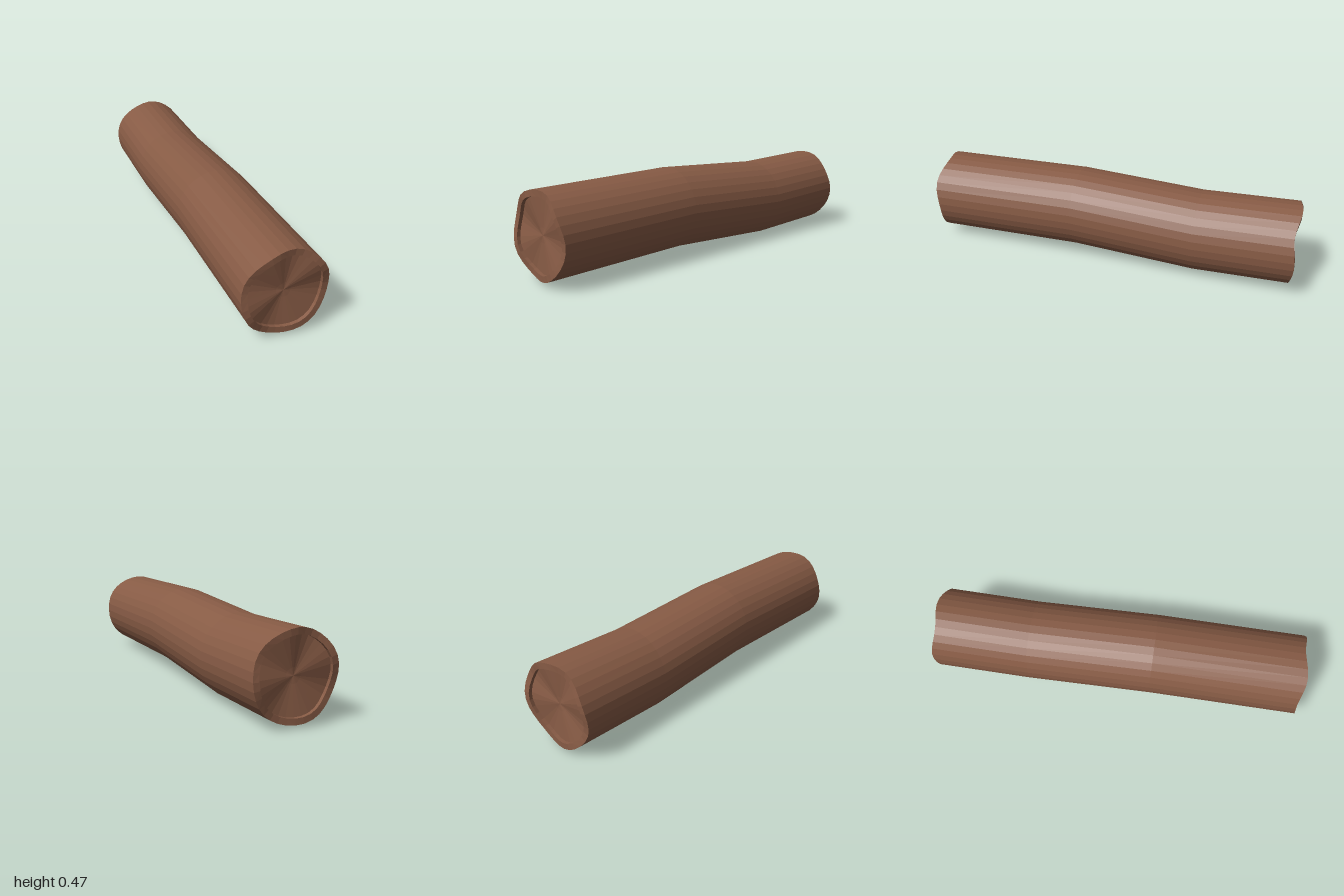
import * as THREE from 'three';

const SIDES = 32;
const RADIUS = 0.216;
const END_Y = 0.234;
const WAVE = 0.01;

// Angles (degrees) of the alternating low and high points of the uneven cut
const LOWS_AND_HIGHS = [-8, 33, 75, 115, 158, 204, 248, 300, 352];

function cutWave(angle) {
  let deg = THREE.MathUtils.radToDeg(angle);
  if (deg > 352) deg -= 360;
  let k = 0;
  while (k < LOWS_AND_HIGHS.length - 2 && deg > LOWS_AND_HIGHS[k + 1]) k++;
  const t = (deg - LOWS_AND_HIGHS[k]) / (LOWS_AND_HIGHS[k + 1] - LOWS_AND_HIGHS[k]);
  const s = -Math.cos(Math.PI * t);
  return k % 2 === 0 ? s : -s;
}

// Skins a list of rings [radius, z, centre height, wave] with flat facets
function skin(rings) {
  const point = ([r, z, y, wave], j) => {
    const a = ((j % SIDES) / SIDES) * Math.PI * 2;
    return [r * Math.cos(a), y + r * Math.sin(a), z + wave * cutWave(a)];
  };
  const positions = [];
  for (let i = 0; i < rings.length - 1; i++) {
    for (let j = 0; j < SIDES; j++) {
      const a = point(rings[i], j);
      const b = point(rings[i], j + 1);
      const c = point(rings[i + 1], j);
      const d = point(rings[i + 1], j + 1);
      if (rings[i][0] > 0) positions.push(...a, ...b, ...c);
      if (rings[i + 1][0] > 0) positions.push(...b, ...d, ...c);
    }
  }
  const geometry = new THREE.BufferGeometry();
  geometry.setAttribute('position', new THREE.Float32BufferAttribute(positions, 3));
  geometry.computeVertexNormals();
  return geometry;
}

// Cut end: flat rim, short step inward, shallow dish with a small heart
function cutEnd(side) {
  const edge = 0.99;
  const rings = [
    [RADIUS, edge, WAVE],
    [0.185, edge, WAVE],
    [0.185, edge - 0.018, WAVE],
    [0.11, edge - 0.022, WAVE * 0.6],
    [0.037, edge - 0.026, WAVE * 0.2],
    [0, edge - 0.026, 0],
  ].map(([r, z, wave]) => [r, side * z, END_Y, wave]);
  return skin(side > 0 ? rings : rings.reverse());
}

export function createModel() {
  const log = new THREE.Group();
  log.name = 'log';
  const wood = new THREE.MeshStandardMaterial({ color: 0x875b45 });
  wood.name = 'brown wood';

  const add = (name, geometry) => {
    const mesh = new THREE.Mesh(geometry, wood);
    mesh.name = name;
    log.add(mesh);
  };

  // Gently bent trunk
  add('trunk', skin([
    [RADIUS, -0.99, END_Y, WAVE],
    [RADIUS, -0.48, 0.217, 0],
    [RADIUS, 0.19, 0.252, 0],
    [RADIUS, 0.99, END_Y, WAVE],
  ]));
  add('frontCutEnd', cutEnd(1));
  add('backCutEnd', cutEnd(-1));
  return log;
}
